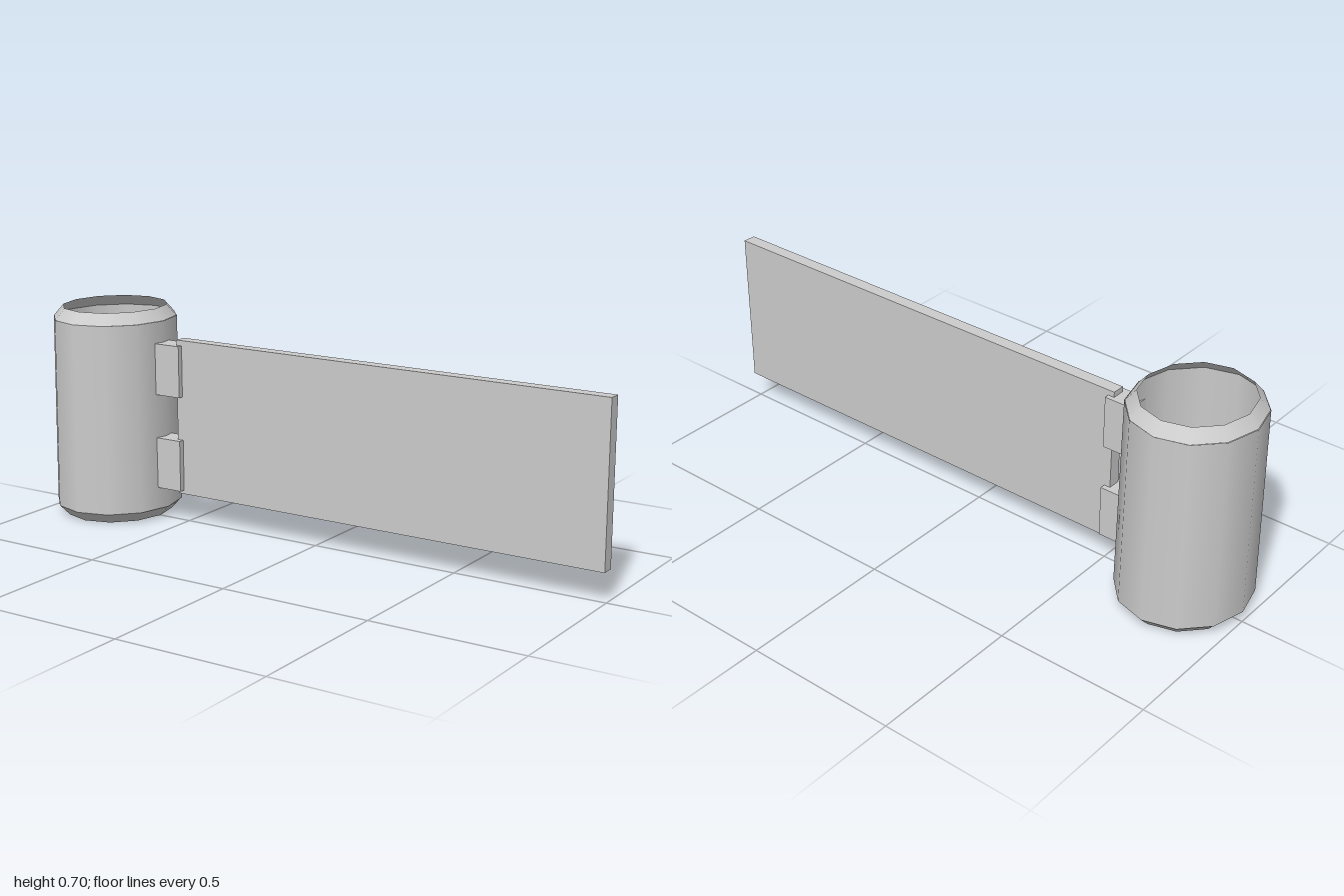
import * as THREE from 'three';

const SIDES = 12;
const TUBE_X = -0.793;

export function createModel() {
  const model = new THREE.Group();
  const material = new THREE.MeshStandardMaterial({ color: 0xcccccc });
  const shell = new THREE.MeshStandardMaterial({ color: 0xcccccc, side: THREE.DoubleSide });

  const add = (name, geometry, x, y, z, parent = model, mat = material) => {
    const mesh = new THREE.Mesh(geometry, mat);
    mesh.name = name;
    mesh.position.set(x, y, z);
    parent.add(mesh);
    return mesh;
  };

  // Open oval sleeve: each band has its own normals, so the chamfers stay crisp
  const sleeve = new THREE.Group();
  sleeve.name = 'sleeve';
  model.add(sleeve);
  const rings = [ // height, half width in x, half depth in z
    [0, 0.17, 0.186],
    [0.036, 0.207, 0.221],
    [0.664, 0.201, 0.215],
    [0.701, 0.166, 0.181],
  ];
  ['lowerChamfer', 'sleeveWall', 'upperChamfer'].forEach((name, i) => {
    const [y0, x0, z0] = rings[i];
    const [y1, x1, z1] = rings[i + 1];
    const band = new THREE.CylinderGeometry(z1, z0, y1 - y0, SIDES, 1, true);
    band.scale((x0 + x1) / (z0 + z1), 1, 1);
    add(name, band, TUBE_X, (y0 + y1) / 2, 0, sleeve, shell);
  });

  // Two hinge clips joining the sleeve to the panel
  [['lowerClip', 0.194, 0.079], ['upperClip', 0.509, 0.075]].forEach(([name, y, depth]) => {
    add(name, new THREE.BoxGeometry(0.095, 0.17, depth), -0.5515, y, 0);
  });

  // Flat panel
  add('panel', new THREE.BoxGeometry(1.525, 0.515, 0.042), 0.2375, 0.354, -0.001);

  return model;
}
